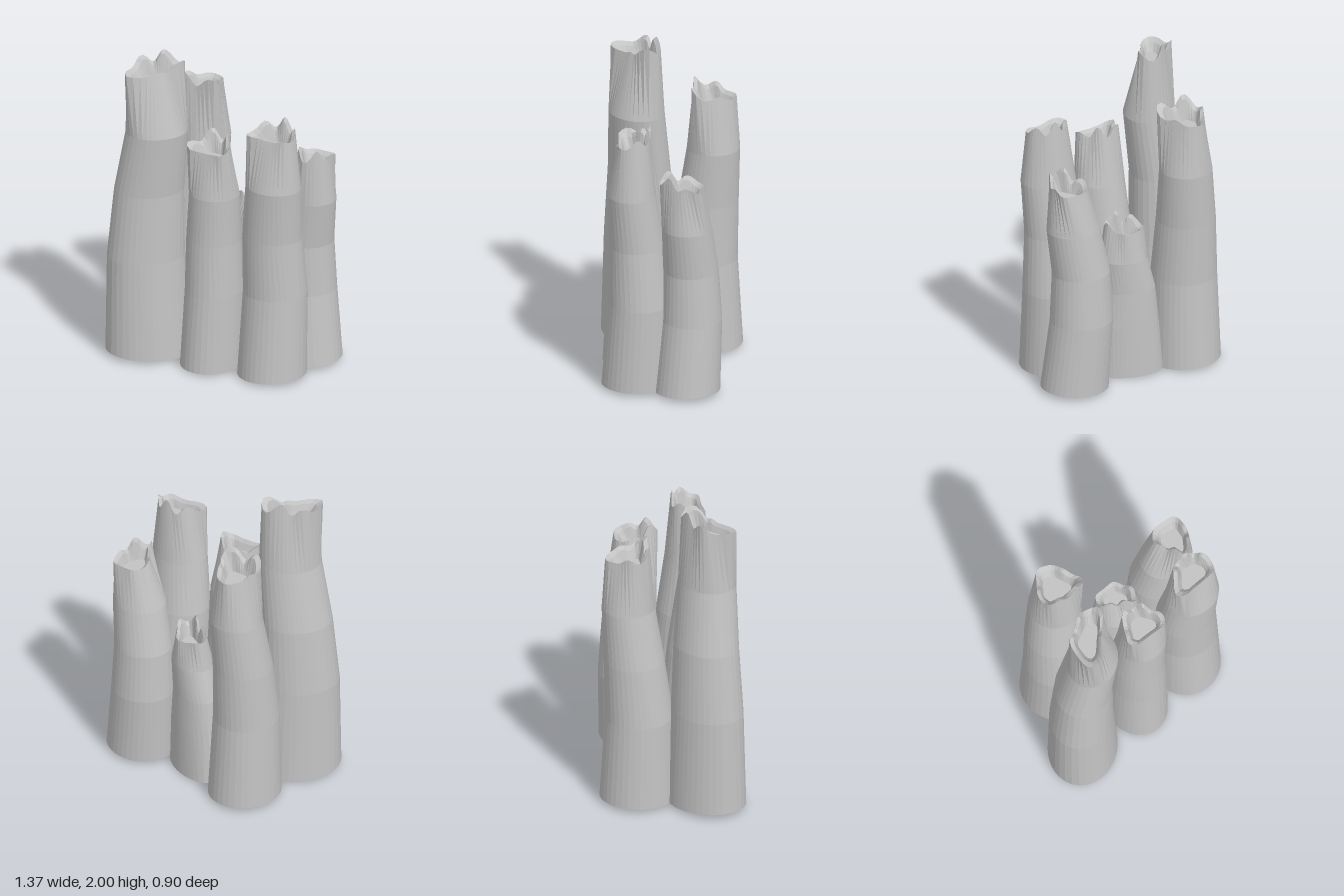
import * as THREE from 'three';

const SIDES = 36;
const STEP = (Math.PI * 2) / SIDES;
const LEVELS = [0, 0.34, 0.57, 0.78]; // bends, as fractions of a tube's height

// Distance from (cx, cz) along an angle to the outline through the corners
function reach(corners, cx, cz, angle) {
  const dx = Math.cos(angle), dz = Math.sin(angle);
  let distance = 0;
  corners.forEach(([px, pz], i) => {
    const [qx, qz] = corners[(i + 1) % corners.length];
    const ex = qx - px, ez = qz - pz, det = dx * ez - dz * ex;
    if (Math.abs(det) < 1e-9) return;
    const t = ((px - cx) * dz - (pz - cz) * dx) / det;
    if (t < -1e-6 || t > 1 + 1e-6) return;
    distance = Math.max(distance, ((px - cx) * ez - (pz - cz) * ex) / det);
  });
  return distance;
}

// Joins loops of SIDES points into a flat-faceted skin
function skin(loops) {
  const index = [];
  for (let j = 0; j < loops.length - 1; j++) {
    for (let i = 0; i < SIDES; i++) {
      const a = j * SIDES + i, b = j * SIDES + ((i + 1) % SIDES);
      if (j < loops.length - 2) index.push(a, a + SIDES, b + SIDES);
      if (j > 0) index.push(a, b + SIDES, b);
    }
  }
  const indexed = new THREE.BufferGeometry();
  indexed.setAttribute('position', new THREE.Float32BufferAttribute(loops.flat(2), 3));
  indexed.setIndex(index);
  const geometry = indexed.toNonIndexed();
  geometry.computeVertexNormals();
  return geometry;
}

// path: [x, z] of the middle at each level; base and shoulder: oval radii; corners: rim outline
function tubeGeometry({ height, turn = 0, path, base, shoulder, corners }) {
  const loop = (cx, cz, radiusAt, heightAt) => Array.from({ length: SIDES }, (_, i) => {
    const t = i * STEP, r = radiusAt(t);
    const x = cx + r * Math.cos(t), z = cz + r * Math.sin(t);
    return [x, heightAt(t, x, z), z];
  });

  // Closed foot, lifting slightly outwards, and the oval rings of the bent body
  const foot = (t, x, z) => 0.06 * (x * x + z * z);
  const loops = [loop(...path[0], () => 0, foot)];
  path.forEach(([x, z], i) => {
    const a = THREE.MathUtils.lerp(base[0], shoulder[0], i / 3);
    const b = THREE.MathUtils.lerp(base[1], shoulder[1], i / 3);
    const oval = (t) => (a * b) / Math.hypot(b * Math.cos(t - turn), a * Math.sin(t - turn));
    loops.push(loop(x, z, oval, i ? () => height * LEVELS[i] : foot));
  });

  // Rim outline with softened corners
  const mean = (k) => corners.reduce((sum, p) => sum + p[k], 0) / corners.length;
  const cx = mean(0), cz = mean(1);
  const outline = (t) => [-1, 0, 1].reduce((sum, k) => sum + reach(corners, cx, cz, t + k * STEP), 0) * 0.36;

  // Rim height: even on the outside of the cluster, higher and broken on the inside
  const broken = (t) => {
    const inward = -Math.sign(cz) * Math.sin(t);
    return height + 0.03 * inward + 0.02 * (1 + inward) * Math.sin(5 * t + 7 * cx);
  };
  const rimLoop = (scale, heightAt) => loop(cx, cz, (t) => outline(t) * scale, heightAt);
  const floor = () => height - 0.09;

  // Rim edge, sloping lip, hollow and its floor
  loops.push(rimLoop(1, broken), rimLoop(0.8, (t) => broken(t) - 0.02), rimLoop(0.6, floor), rimLoop(0, floor));
  return skin(loops);
}

export function createModel() {
  const group = new THREE.Group();
  group.name = 'tubeCluster';
  const grey = new THREE.MeshStandardMaterial({ color: 0xc3c3c3 });
  grey.name = 'stoneGrey';
  const addTube = (name, shape) => {
    const mesh = new THREE.Mesh(tubeGeometry(shape), grey);
    mesh.name = name;
    group.add(mesh);
  };

  // Front row
  addTube('frontRightTallTube', {
    height: 1.933, turn: -Math.PI / 4,
    path: [[-0.445, 0.2], [-0.46, 0.205], [-0.44, 0.2], [-0.38, 0.21]],
    base: [0.27, 0.215], shoulder: [0.195, 0.16],
    corners: [[-0.52, 0.17], [-0.52, 0.35], [-0.47, 0.395], [-0.25, 0.135], [-0.25, 0.09], [-0.33, 0.055]],
  });
  addTube('frontMiddleTube', {
    height: 1.49,
    path: [[-0.015, 0.155], [0, 0.15], [0, 0.16], [0.015, 0.18]],
    base: [0.19, 0.225], shoulder: [0.16, 0.15],
    corners: [[-0.14, 0.28], [0.13, 0.27], [0.14, 0.21], [0.05, 0.09], [-0.06, 0.09]],
  });
  addTube('frontLeftTube', {
    height: 1.645,
    path: [[0.395, 0.125], [0.405, 0.1], [0.395, 0.12], [0.42, 0.15]],
    base: [0.215, 0.215], shoulder: [0.18, 0.15],
    corners: [[0.245, 0.24], [0.545, 0.21], [0.56, 0.135], [0.5, 0.05], [0.36, 0.05]],
  });

  // Back row
  addTube('backRightTube', {
    height: 1.69,
    path: [[-0.345, -0.22], [-0.35, -0.21], [-0.345, -0.24], [-0.32, -0.275]],
    base: [0.225, 0.235], shoulder: [0.165, 0.165],
    corners: [[-0.35, -0.415], [-0.26, -0.385], [-0.155, -0.165], [-0.42, -0.155], [-0.45, -0.26]],
  });
  addTube('backMiddleShortTube', {
    height: 1.005, turn: 0.35,
    path: [[0.05, -0.185], [0.055, -0.185], [0.055, -0.185], [0.085, -0.18]],
    base: [0.22, 0.13], shoulder: [0.15, 0.12],
    corners: [[-0.02, -0.26], [0.13, -0.28], [0.195, -0.165], [0.16, -0.085], [-0.02, -0.18]],
  });
  addTube('backLeftTube', {
    height: 1.4,
    path: [[0.465, -0.2], [0.43, -0.225], [0.43, -0.22], [0.475, -0.2]],
    base: [0.215, 0.205], shoulder: [0.17, 0.155],
    corners: [[0.455, -0.295], [0.61, -0.295], [0.61, -0.165], [0.54, -0.045], [0.5, -0.045], [0.4, -0.22]],
  });
  return group;
}
